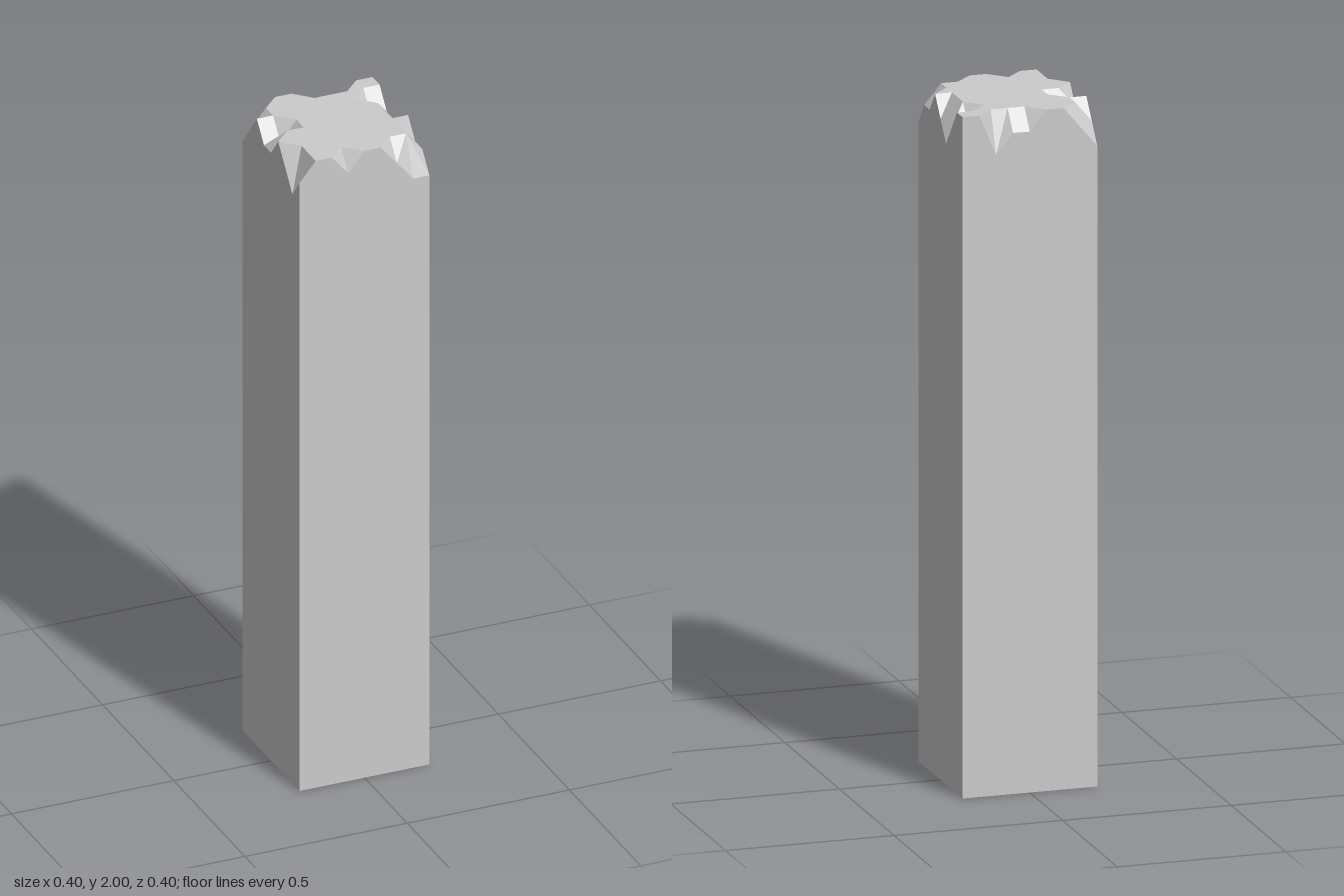
import * as THREE from 'three';

const N = 8, CELL = 0.05, HALF = 0.2, TOP = 2, CHIP = 0.06;

// Depth of the chipped rim, in chip steps: rows run back to front, columns from -x to +x
const chips = [
  '210011200',
  '100000000',
  '000000011',
  '110000002',
  '100000001',
  '000000000',
  '100000001',
  '200000001',
  '100100122',
];

// Cells (column,row) whose crease runs through the deeper corners
const valleyCells = new Set(['5,0', '0,1', '1,3', '7,4', '0,6', '0,7']);

const drop = (i, j) => Number(chips[j][i]);
const rim = (i, j) => [i * CELL - HALF, TOP - drop(i, j) * CHIP, j * CELL - HALF];
const foot = (i, j) => [i * CELL - HALF, 0, j * CELL - HALF];

function flatMesh(name, triangles, material) {
  const geometry = new THREE.BufferGeometry();
  geometry.setAttribute('position', new THREE.Float32BufferAttribute(triangles.flat(2), 3));
  geometry.computeVertexNormals();
  const mesh = new THREE.Mesh(geometry, material);
  mesh.name = name;
  return mesh;
}

// Broken upper surface, each cell split along its ridge or its valley
function topTriangles() {
  const tris = [];
  for (let j = 0; j < N; j++) {
    for (let i = 0; i < N; i++) {
      const a = rim(i, j), b = rim(i, j + 1), c = rim(i + 1, j + 1), d = rim(i + 1, j);
      const ridgeAC = a[1] + c[1] > b[1] + d[1];
      if (ridgeAC !== valleyCells.has(`${i},${j}`)) tris.push([a, b, c], [a, c, d]);
      else tris.push([a, b, d], [b, c, d]);
    }
  }
  return tris;
}

// Four flat walls following the rim, going round counter-clockwise from above
function wallTriangles() {
  const sides = [
    k => [k, N],
    k => [N, N - k],
    k => [N - k, 0],
    k => [0, k],
  ];
  const tris = [];
  for (const at of sides) {
    for (let k = 0; k < N; k++) {
      const p = at(k), q = at(k + 1);
      tris.push([foot(...p), foot(...q), rim(...q)], [foot(...p), rim(...q), rim(...p)]);
    }
  }
  return tris;
}

export function createModel() {
  const group = new THREE.Group();
  group.name = 'brokenPillar';
  const stone = new THREE.MeshStandardMaterial({ color: 0xcccccc, flatShading: true });

  group.add(flatMesh('chippedTop', topTriangles(), stone));
  group.add(flatMesh('shaftWalls', wallTriangles(), stone));

  // Underside
  const base = new THREE.Mesh(new THREE.PlaneGeometry(2 * HALF, 2 * HALF), stone);
  base.rotation.x = Math.PI / 2;
  base.name = 'base';
  group.add(base);
  return group;
}
